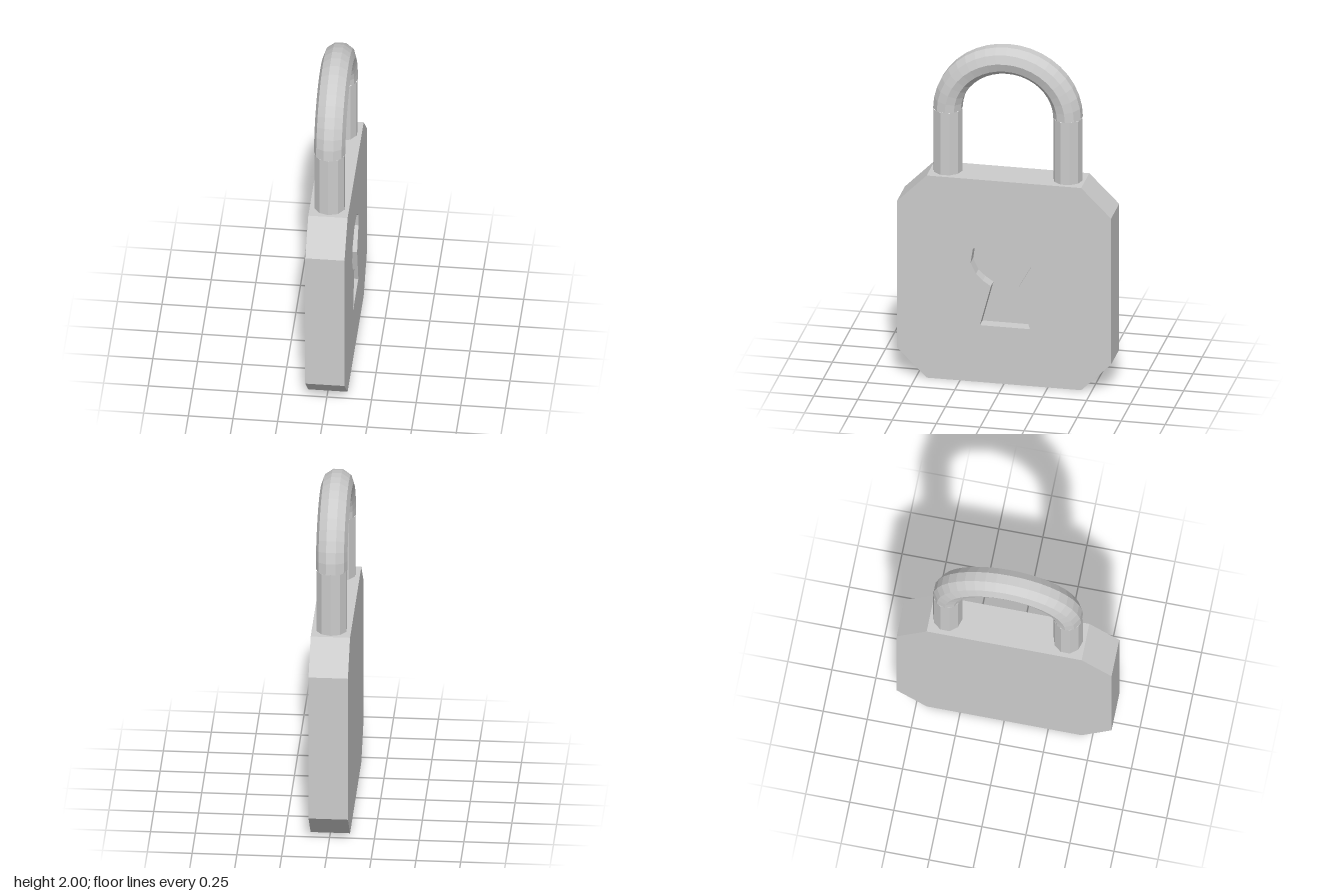
import * as THREE from 'three';

const HALF = 0.11;     // half thickness of the body
const RECESS = 0.07;   // depth of the keyhole
const SPREAD = 0.342;  // shackle centre line to middle
const BEND_Y = 1.595;  // where the legs start to bend
const TUBE = 0.083;
const SIDES = 10;

const material = new THREE.MeshStandardMaterial({ color: 0xcccccc, flatShading: true });

// Points are [z, y]; the extrusion later turns so that shape x becomes -z.
const toPoints = (pairs) => pairs.map(([z, y]) => new THREE.Vector2(-z, y));

const bodyOutline = toPoints([
  [0.44, 0], [-0.44, 0], [-0.61, 0.17], [-0.61, 1.05],
  [-0.44, 1.22], [0.44, 1.22], [0.61, 1.05], [0.61, 0.17],
]);

const keyholeOutline = toPoints([
  [0.137, 0.343], [-0.148, 0.343], [-0.08, 0.583], [-0.154, 0.715],
  [-0.144, 0.795], [-0.069, 0.861], [0, 0.87], [0.074, 0.866], [0.177, 0.8],
  [0.19, 0.715], [0.159, 0.65], [0.12, 0.613], [0.074, 0.583],
]);

// Slab of the body outline between two x positions
function slab(name, x0, x1, hole) {
  const shape = new THREE.Shape(bodyOutline);
  if (hole) shape.holes.push(new THREE.Path(hole));
  const geometry = new THREE.ExtrudeGeometry(shape, { depth: x1 - x0, bevelEnabled: false });
  geometry.rotateY(Math.PI / 2).translate(x0, 0, 0);
  const mesh = new THREE.Mesh(geometry, material);
  mesh.name = name;
  return mesh;
}

// Slightly flattened half circle from one leg to the other
class BendCurve extends THREE.Curve {
  getPoint(t, target = new THREE.Vector3()) {
    const a = Math.PI * t;
    return target.set(0, BEND_Y + 0.322 * Math.sin(a), SPREAD * Math.cos(a));
  }
}

export function createModel() {
  const model = new THREE.Group();
  model.name = 'padlock';

  // Body: solid back plus a front plate pierced by the keyhole
  const body = new THREE.Group();
  body.name = 'body';
  body.add(slab('bodyBack', -HALF, HALF - RECESS));
  body.add(slab('keyholePlate', HALF - RECESS, HALF, keyholeOutline));
  model.add(body);

  // Shackle: bend and two straight legs
  const shackle = new THREE.Group();
  shackle.name = 'shackle';
  const bend = new THREE.Mesh(new THREE.TubeGeometry(new BendCurve(), 20, TUBE, SIDES), material);
  bend.name = 'shackleBend';
  shackle.add(bend);
  const legBottom = 1.2;
  const legHeight = BEND_Y - legBottom;
  for (const side of [1, -1]) {
    const leg = new THREE.Mesh(
      new THREE.CylinderGeometry(TUBE, TUBE, legHeight, SIDES, 1, true), material);
    leg.name = side > 0 ? 'frontLeg' : 'backLeg';
    leg.position.set(0, legBottom + legHeight / 2, side * SPREAD);
    shackle.add(leg);
  }
  shackle.scale.x = 1.06;
  model.add(shackle);

  return model;
}
